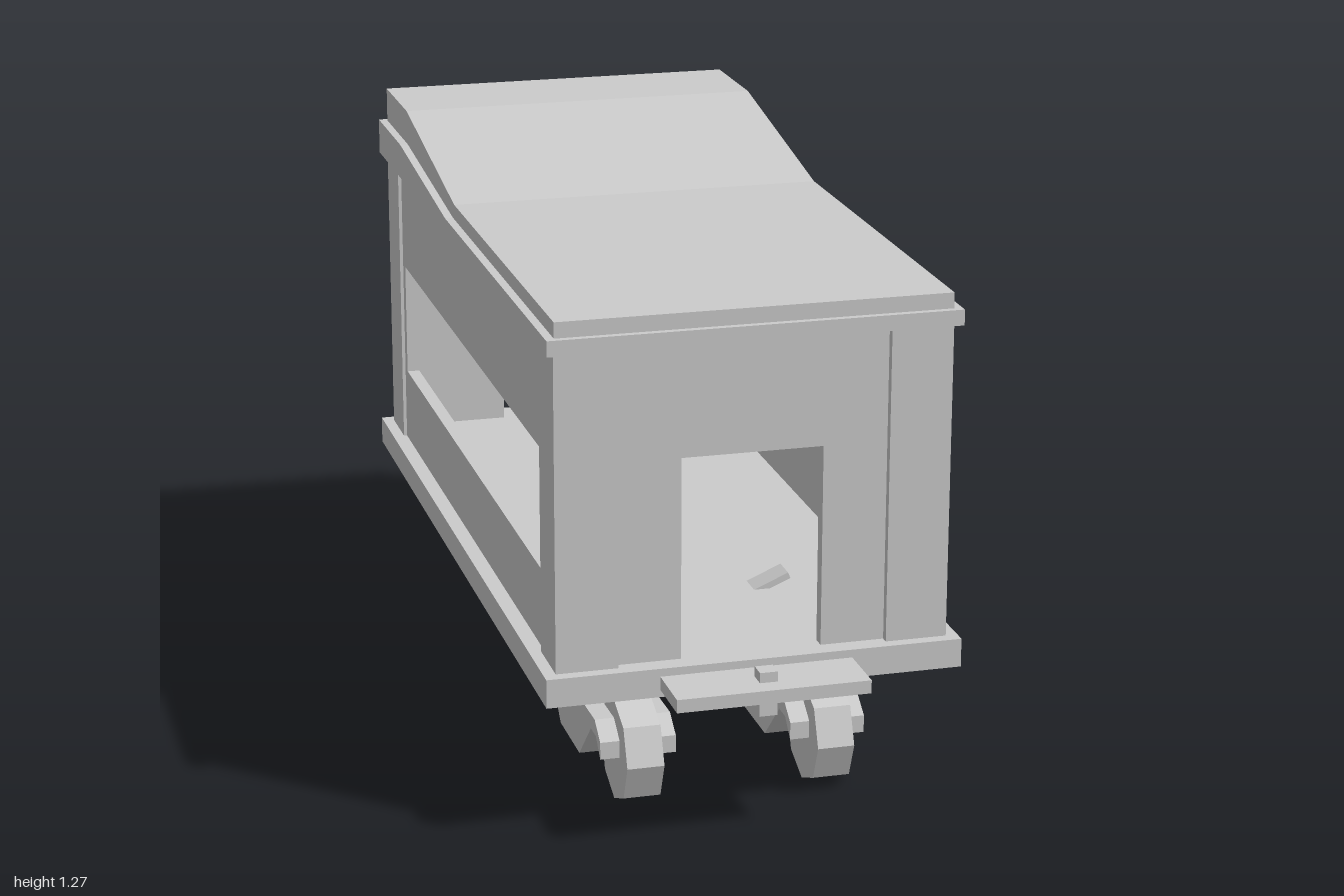
import * as THREE from 'three';

const grey = new THREE.MeshStandardMaterial({ color: 0xcccccc, flatShading: true });

function add(parent, name, geometry) {
  const mesh = new THREE.Mesh(geometry, grey);
  mesh.name = name;
  parent.add(mesh);
  return mesh;
}

// Box given by its limits on each axis
function box(parent, name, x0, x1, y0, y1, z0, z1) {
  const mesh = add(parent, name, new THREE.BoxGeometry(x1 - x0, y1 - y0, z1 - z0));
  mesh.position.set((x0 + x1) / 2, (y0 + y1) / 2, (z0 + z1) / 2);
  return mesh;
}

const outline = (points) => new THREE.Shape(points.map(([a, b]) => new THREE.Vector2(a, b)));

// Profile of [z, y] points, extruded across x and centred on x
function across(parent, name, points, width, x = 0, hole = null) {
  const shape = outline(points);
  if (hole) shape.holes.push(outline(hole));
  const g = new THREE.ExtrudeGeometry(shape, { depth: width, bevelEnabled: false });
  g.rotateY(-Math.PI / 2).translate(width / 2, 0, 0);
  const mesh = add(parent, name, g);
  mesh.position.x = x;
  return mesh;
}

function makeBogie(z, x) {
  const bogie = new THREE.Group();
  bogie.name = 'bogie';
  // Side frame with a hook over each axle
  const half = [[0, 0.19], [0.235, 0.195], [0.285, 0.16], [0.285, 0.12], [0.245, 0.16], [0.2, 0.16], [0.09, 0.055]];
  const mirrored = half.slice(1).reverse().map(([a, b]) => [-a, b]);
  across(bogie, 'bogieFrame', [...half, ...mirrored], 0.172);
  box(bogie, 'bogiePost', -0.028, 0.028, 0.18, 0.335, -0.09, 0.09);
  // Eight-sided wheels
  for (const s of [-1, 1]) {
    const g = new THREE.CylinderGeometry(0.118, 0.118, 0.084, 8).rotateZ(Math.PI / 2);
    add(bogie, 'wheel', g).position.set(0, 0.12, s * 0.235);
  }
  bogie.position.set(x, 0, z);
  return bogie;
}

// Control desk with a tilted panel
function makeDesk(x, z, turn) {
  const desk = new THREE.Group();
  desk.name = 'controlDesk';
  box(desk, 'deskBody', -0.1, 0.1, 0.395, 0.53, -0.06, 0.06);
  const panel = box(desk, 'deskPanel', -0.06, 0.06, 0.53, 0.6, 0, 0.025);
  panel.rotation.x = 0.5;
  box(desk, 'deskLever', -0.09, -0.07, 0.53, 0.58, -0.05, -0.03);
  desk.position.set(x, 0, z);
  desk.rotation.y = turn;
  return desk;
}

export function createModel() {
  const model = new THREE.Group();
  model.name = 'railCar';

  // Floor and coupling
  box(model, 'floor', -0.465, 0.465, 0.33, 0.395, -1, 0.865);
  box(model, 'couplingPlate', -0.215, 0.215, 0.347, 0.377, 0.82, 1);
  box(model, 'couplingPin', -0.02, 0.02, 0.3, 0.4, 0.915, 0.955);

  // Side walls with long windows
  for (const s of [-1, 1]) {
    across(model, 'sideWall',
      [[-0.95, 0.39], [0.82, 0.39], [0.82, 1.12], [-0.95, 1.12]], 0.03, s * 0.415,
      [[-0.81, 0.575], [-0.81, 0.85], [0.675, 0.85], [0.675, 0.575]]);
  }

  // End walls with doorways
  const endShape = outline([[-0.42, 0.39], [-0.157, 0.39], [-0.157, 0.85], [0.157, 0.85],
    [0.157, 0.39], [0.42, 0.39], [0.42, 1.12], [-0.42, 1.12]]);
  for (const z of [0.79, -0.95]) {
    add(model, 'endWall', new THREE.ExtrudeGeometry(endShape, { depth: 0.03, bevelEnabled: false })).position.z = z;
  }

  // Corner posts, L-shaped in plan
  for (const sx of [-1, 1]) {
    for (const [z, sz] of [[0.838, 1], [-0.972, -1]]) {
      const x0 = Math.min(sx * 0.3, sx * 0.438), x1 = Math.max(sx * 0.3, sx * 0.438);
      const xi = sx * 0.4, xo = sx * 0.438;
      const zi = z - sz * 0.04, zd = z - sz * 0.135;
      box(model, 'cornerPost', x0, x1, 0.39, 1.11, Math.min(z, zi), Math.max(z, zi));
      box(model, 'cornerPost', Math.min(xi, xo), Math.max(xi, xo), 0.39, 1.11, Math.min(zi, zd), Math.max(zi, zd));
    }
  }

  // Stepped roof, rising to the back
  across(model, 'roofTrim',
    [[0.855, 1.105], [0.855, 1.14], [-0.17, 1.14], [-0.71, 1.19], [-0.99, 1.19], [-0.99, 1.105]], 0.91);
  across(model, 'roof',
    [[0.84, 1.13], [0.84, 1.175], [-0.155, 1.175], [-0.715, 1.272], [-0.975, 1.272], [-0.975, 1.13]], 0.872);

  // Bogies
  for (const z of [0.403, -0.53]) {
    for (const x of [-0.218, 0.218]) model.add(makeBogie(z, x));
  }

  // Interior fittings
  model.add(makeDesk(-0.27, 0.69, 0), makeDesk(0.28, -0.8, Math.PI));
  box(model, 'cabinet', 0.28, 0.4, 0.395, 0.62, 0.48, 0.67);
  const pedal = box(model, 'pedal', 0.1, 0.2, 0.395, 0.41, 0.4, 0.46);
  pedal.rotation.z = 0.4;

  return model;
}
